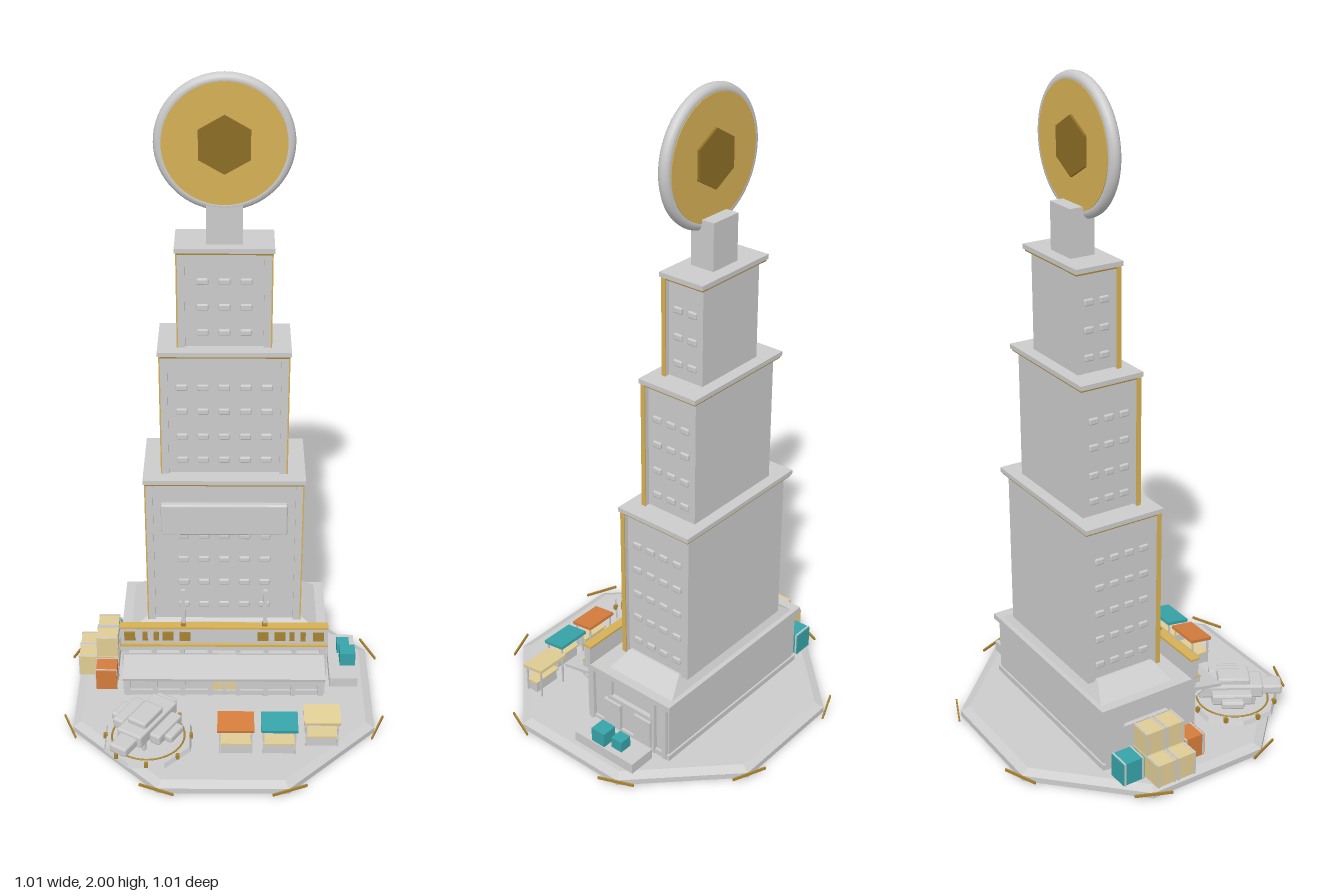
import * as THREE from 'three';
import { RoundedBoxGeometry } from 'three/addons/geometries/RoundedBoxGeometry.js';

const mat = (color) => new THREE.MeshStandardMaterial({ color, flatShading: true });
const GREY = mat(0xcccccc), GOLD = mat(0xa88432), DISC = mat(0xd6b055), DARK = mat(0x8c6d24);
const TEAL = mat(0x36a3a8), ORANGE = mat(0xd47c3c), CREAM = mat(0xe0cd95);
const SMOOTH = new THREE.MeshStandardMaterial({ color: 0xcccccc });

function add(parent, name, geo, m, x = 0, y = 0, z = 0) {
  const mesh = new THREE.Mesh(geo, m);
  mesh.name = name;
  mesh.position.set(x, y, z);
  parent.add(mesh);
  return mesh;
}

// Box given by its extents along each axis
function span(parent, name, m, x0, x1, y0, y1, z0, z1) {
  return add(parent, name, new THREE.BoxGeometry(x1 - x0, y1 - y0, z1 - z0), m,
    (x0 + x1) / 2, (y0 + y1) / 2, (z0 + z1) / 2);
}

function group(parent, name, x = 0, y = 0, z = 0) {
  const g = new THREE.Group();
  g.name = name;
  g.position.set(x, y, z);
  parent.add(g);
  return g;
}

// Upright octagonal prism with flat sides facing the axes
function octagon(rTop, rBottom, h) {
  return new THREE.CylinderGeometry(rTop, rBottom, h, 8).rotateY(Math.PI / 8);
}

function buildPlatform(root) {
  const g = group(root, 'platform');
  add(g, 'platformSlab', octagon(0.51, 0.51, 0.018), GREY, 0, 0.009, 0);
  add(g, 'platformBevel', octagon(0.482, 0.51, 0.012), GREY, 0, 0.024, 0);
  for (let i = 0; i < 8; i++) {
    const a = Math.PI / 8 + i * Math.PI / 4;
    const strip = add(g, 'cornerStrip', new THREE.BoxGeometry(0.112, 0.008, 0.005), GOLD,
      Math.sin(a) * 0.519, 0.022, Math.cos(a) * 0.519);
    strip.rotation.y = a;
  }
}

function buildPodium(root) {
  const g = group(root, 'podium');
  span(g, 'podiumBody', GREY, -0.31, 0.31, 0.03, 0.225, -0.262, 0.045);
  span(g, 'podiumRoof', GREY, -0.325, 0.325, 0.222, 0.24, -0.275, 0.07);
  span(g, 'podiumPlinth', GREY, -0.318, 0.318, 0.03, 0.048, -0.268, 0.053);

  // Sloping roof beneath the tower
  const slope = new THREE.BoxGeometry(0.59, 0.045, 0.245);
  const p = slope.attributes.position;
  for (let i = 0; i < p.count; i++) {
    if (p.getY(i) > 0) p.setXYZ(i, p.getX(i) * 0.78, p.getY(i), p.getZ(i) * 0.78);
  }
  slope.computeVertexNormals();
  add(g, 'slopedRoof', slope, GREY, 0, 0.2625, -0.1375);

  // Parapet with lit windows
  span(g, 'parapet', GREY, -0.325, 0.325, 0.24, 0.3, 0.04, 0.062);
  span(g, 'parapetTrim', DISC, -0.325, 0.325, 0.299, 0.306, 0.037, 0.066);
  span(g, 'parapetLowerTrim', DISC, -0.325, 0.325, 0.236, 0.243, 0.04, 0.071);
  span(g, 'parapetPanel', GREY, -0.13, 0.13, 0.243, 0.302, 0.027, 0.05);
  for (const s of [-1, 1]) {
    for (const [x, w] of [[0.295, 0.034], [0.247, 0.016], [0.212, 0.016], [0.175, 0.034], [0.122, 0.034]]) {
      add(g, 'parapetWindow', new THREE.BoxGeometry(w, 0.032, 0.006), GOLD, s * x, 0.271, 0.063);
    }
    span(g, 'mast', GREY, s * 0.127 - 0.006, s * 0.127 + 0.006, 0.24, 0.435, 0.04, 0.052);
    add(g, 'mastBracket', new THREE.BoxGeometry(0.016, 0.012, 0.018), GOLD, s * 0.127, 0.308, 0.05);

    // Side wall pilasters and frame
    for (const z of [-0.25, -0.205, -0.035, 0.04]) {
      add(g, 'sidePilaster', new THREE.BoxGeometry(0.016, 0.19, 0.016), GREY, s * 0.314, 0.127, z);
    }
    span(g, 'sideLintel', GREY, s * 0.314 - 0.01, s * 0.314 + 0.01, 0.148, 0.162, -0.205, -0.035);
  }
  // Front columns, doors and upper rail
  for (let i = 0; i < 8; i++) {
    add(g, 'frontColumn', new THREE.BoxGeometry(0.016, 0.192, 0.018), GREY, -0.308 + i * 0.088, 0.127, 0.05);
  }
  span(g, 'frontRail', GREY, -0.318, 0.318, 0.19, 0.202, 0.04, 0.06);
  span(g, 'doorPanel', CREAM, -0.036, 0.036, 0.03, 0.15, 0.043, 0.05);
  span(g, 'doorSplit', GREY, -0.004, 0.004, 0.03, 0.15, 0.045, 0.054);
  span(g, 'doorLintel', GREY, -0.05, 0.05, 0.15, 0.165, 0.043, 0.06);

  // Tilted entrance canopy with struts
  const canopy = add(g, 'entranceCanopy', new THREE.BoxGeometry(0.63, 0.01, 0.112), GREY, 0, 0.183, 0.103);
  canopy.rotation.x = 0.19;
  for (let i = 0; i < 5; i++) {
    const strut = add(g, 'canopyStrut', new THREE.BoxGeometry(0.007, 0.007, 0.1), GREY, -0.29 + i * 0.145, 0.153, 0.09);
    strut.rotation.x = -0.42;
  }
}

// One tower tier: w and d are half sizes, rows hold window heights
function buildTier(root, t) {
  const g = group(root, 'towerTier', 0, 0, t.z);
  const { w, d, y0, y1 } = t, cap = y1 - 0.014;
  span(g, 'tierBody', GREY, -w, w, y0, cap, -d, d);
  span(g, 'tierCap', GREY, -w - 0.022, w + 0.022, cap, y1, -d - 0.015, d + 0.015);
  span(g, 'capTrim', GOLD, -w - 0.017, w + 0.017, cap - 0.006, cap, -d - 0.011, d + 0.011);
  for (const s of [-1, 1]) {
    add(g, 'cornerPilaster', new THREE.BoxGeometry(0.022, cap - y0, 0.012), GREY, s * (w + 0.004), (y0 + cap) / 2, d + 0.004);
    add(g, 'pilasterTrim', new THREE.BoxGeometry(0.004, cap - y0, 0.014), DISC, s * (w + 0.016), (y0 + cap) / 2, d + 0.004);
  }
  const front = new RoundedBoxGeometry(0.034, 0.02, 0.01, 1, 0.004);
  const side = new RoundedBoxGeometry(0.01, 0.02, 0.03, 1, 0.004);
  for (const y of t.rows) {
    for (let i = 0; i < t.cols; i++) add(g, 'frontWindow', front, GREY, (i - (t.cols - 1) / 2) * 0.063, y, d + 0.002);
    for (let i = 0; i < t.sideCols; i++) {
      const z = (i - (t.sideCols - 1) / 2) * 0.05;
      for (const s of [-1, 1]) add(g, 'sideWindow', side, GREY, s * (w + 0.002), y, z);
    }
  }
}

function buildTower(root) {
  const g = group(root, 'tower');
  [
    { w: 0.224, d: 0.115, z: -0.145, y0: 0.275, y1: 0.79, cols: 5, sideCols: 4, rows: [0.33, 0.415, 0.5, 0.585, 0.67] },
    { w: 0.174, d: 0.086, z: -0.155, y0: 0.79, y1: 1.2, cols: 5, sideCols: 3, rows: [0.835, 0.915, 1.0, 1.08] },
    { w: 0.121, d: 0.06, z: -0.16, y0: 1.2, y1: 1.51, cols: 3, sideCols: 2, rows: [1.245, 1.325, 1.405] },
  ].forEach((t) => buildTier(g, t));
  add(g, 'signBoard', new RoundedBoxGeometry(0.386, 0.108, 0.024, 2, 0.006), GREY, 0, 0.655, -0.018);
  span(g, 'neck', GREY, -0.052, 0.052, 1.51, 1.648, -0.197, -0.12);

  // Round emblem on top
  const e = group(g, 'topDisc', 0, 1.803, -0.137);
  add(e, 'discRim', new THREE.TorusGeometry(0.179, 0.018, 12, 64), SMOOTH);
  add(e, 'discFace', new THREE.CylinderGeometry(0.175, 0.175, 0.038, 64).rotateX(Math.PI / 2), DISC);
  add(e, 'discHexagon', new THREE.CylinderGeometry(0.084, 0.084, 0.052, 6).rotateX(Math.PI / 2), DARK);
}

function crate(parent, m, x, y, z, sx, sy, sz) {
  const g = group(parent, 'crate', x, y + sy / 2, z);
  add(g, 'crateBody', new THREE.BoxGeometry(sx, sy, sz), m);
  for (const s of [-1, 1]) {
    add(g, 'crateBand', new THREE.BoxGeometry(sx + 0.004, sy + 0.003, 0.005), GREY, 0, 0, s * sz * 0.42);
  }
}

function buildCargo(root) {
  const g = group(root, 'cargo');
  crate(g, TEAL, -0.378, 0.03, -0.222, 0.066, 0.073, 0.072);
  crate(g, ORANGE, -0.378, 0.03, -0.008, 0.066, 0.073, 0.072);
  for (const z of [-0.147, -0.079]) {
    for (const y of [0.03, 0.104]) crate(g, CREAM, -0.378, y, z, 0.066, 0.072, 0.066);
    crate(g, CREAM, -0.442, 0.03, z, 0.058, 0.073, 0.066);
  }
  // Loading dock beside the podium
  span(g, 'loadingDock', GREY, 0.34, 0.43, 0.03, 0.064, -0.22, 0.01);
  for (const z of [-0.17, -0.05]) add(g, 'dockDoor', new THREE.BoxGeometry(0.012, 0.09, 0.065), GREY, 0.324, 0.1, z);
  span(g, 'smallCrate', TEAL, 0.37, 0.41, 0.064, 0.1, -0.16, -0.12);
  span(g, 'largeCrate', TEAL, 0.376, 0.426, 0.064, 0.111, -0.105, -0.055);
}

function buildStall(root, m, x, z) {
  const g = group(root, 'marketStall', x, 0.03, z);
  const roof = add(g, 'stallAwning', new THREE.BoxGeometry(0.112, 0.01, 0.078), m, 0, 0.096, 0);
  roof.rotation.x = 0.14;
  span(g, 'stallCounter', GREY, -0.045, 0.045, 0, 0.036, -0.005, 0.03);
  span(g, 'counterTop', CREAM, -0.05, 0.05, 0.036, 0.042, -0.01, 0.036);
  for (const sx of [-1, 1]) for (const sz of [-1, 1]) {
    add(g, 'stallPost', new THREE.BoxGeometry(0.005, 0.094, 0.005), GREY, sx * 0.048, 0.047, sz * 0.03);
  }
}

function buildLandingPad(root) {
  const g = group(root, 'landingPad', -0.232, 0.03, 0.265);
  add(g, 'padBase', octagon(0.138, 0.144, 0.014), GREY, 0, 0.007, 0);
  add(g, 'padRing', new THREE.TorusGeometry(0.112, 0.003, 6, 40).rotateX(Math.PI / 2), GOLD, 0, 0.015, 0);
  for (let i = 0; i < 8; i++) {
    const a = i * Math.PI / 4;
    add(g, 'padLight', new THREE.BoxGeometry(0.011, 0.016, 0.011), GOLD, Math.sin(a) * 0.132, 0.014, Math.cos(a) * 0.132);
  }
  // Parked shuttle pointing out to the front corner
  const s = group(g, 'shuttle', -0.013, 0.022, 0.005);
  s.rotation.y = -0.55;
  const part = (name, w, h, l, x, y, z) => add(s, name, new RoundedBoxGeometry(w, h, l, 1, 0.006), GREY, x, y, z);
  part('hull', 0.088, 0.042, 0.2, 0, 0.042, -0.02);
  part('cabin', 0.066, 0.03, 0.1, 0, 0.066, -0.01);
  part('nose', 0.06, 0.03, 0.07, 0, 0.038, 0.105);
  part('tail', 0.07, 0.03, 0.04, 0, 0.046, -0.115);
  for (const k of [-1, 1]) {
    part('enginePod', 0.038, 0.034, 0.125, k * 0.068, 0.04, -0.02);
    part('engineIntake', 0.028, 0.024, 0.07, k * 0.098, 0.036, -0.02);
    for (const z of [-0.07, 0.05]) part('landingLeg', 0.014, 0.034, 0.014, k * 0.035, 0.009, z);
  }
}

export function createModel() {
  const root = new THREE.Group();
  root.name = 'skyscraperPlaza';
  buildPlatform(root);
  buildPodium(root);
  buildTower(root);
  buildCargo(root);
  buildStall(root, ORANGE, 0.037, 0.298);
  buildStall(root, TEAL, 0.17, 0.298);
  buildStall(root, CREAM, 0.301, 0.263);
  buildLandingPad(root);
  return root;
}
